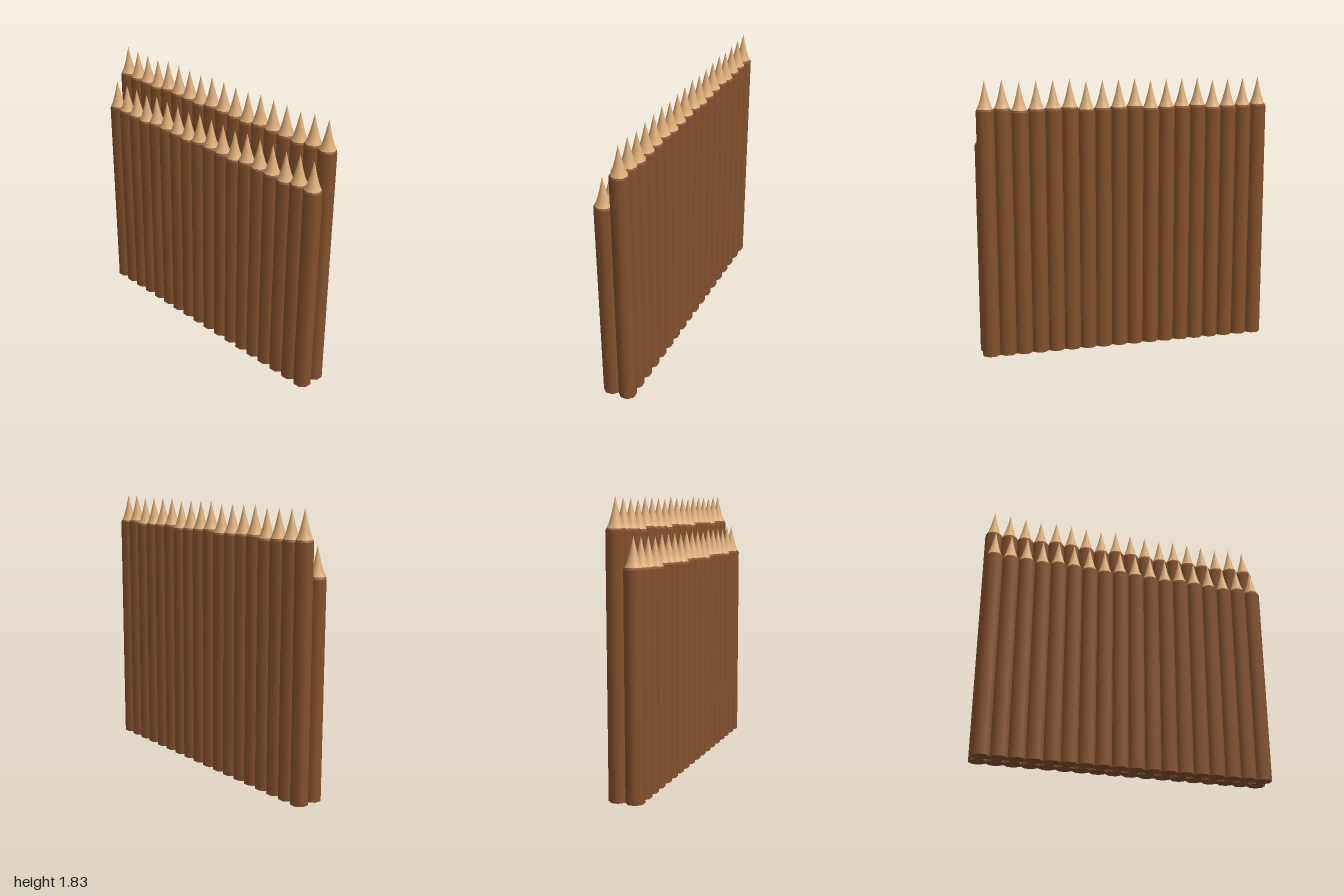
import * as THREE from 'three';

export function createModel() {
  const bark = new THREE.MeshStandardMaterial({ color: 0x85522e });
  bark.name = 'barkBrown';
  const cut = new THREE.MeshStandardMaterial({ color: 0xdeae78 });
  cut.name = 'cutWood';

  const count = 18;
  const pitch = 2 / count;
  const radius = pitch / 2 / Math.cos(Math.PI / 8); // octagon whose flats touch
  const lift = [0.006, 0.001, -0.002, -0.009]; // small repeating height change

  // Shared geometry: bevelled rim and flared sharpened point
  const rimGeo = new THREE.CylinderGeometry(0.052, radius, 0.016, 8, 1, true);
  rimGeo.rotateY(Math.PI / 8).translate(0, 0.008, 0);
  const pointGeo = new THREE.LatheGeometry([
    [0.053, 0.013], [0.044, 0.03], [0.035, 0.055], [0.021, 0.105], [0.0, 0.198],
  ].map(([r, y]) => new THREE.Vector2(r, y)), 16);

  function stake(height) {
    const group = new THREE.Group();
    group.name = 'stake';
    const logGeo = new THREE.CylinderGeometry(radius, radius, height, 8);
    logGeo.rotateY(Math.PI / 8).translate(0, height / 2, 0);
    const parts = [['log', logGeo, bark, 0], ['rim', rimGeo, bark, height], ['point', pointGeo, cut, height]];
    for (const [name, geo, mat, y] of parts) {
      const mesh = new THREE.Mesh(geo, mat);
      mesh.name = name;
      mesh.position.y = y;
      group.add(mesh);
    }
    return group;
  }

  // Two rows of touching stakes, the back one taller
  const model = new THREE.Group();
  model.name = 'palisade';
  for (const [name, z, height] of [['frontRow', pitch / 2, 1.4], ['backRow', -pitch / 2, 1.626]]) {
    const row = new THREE.Group();
    row.name = name;
    for (let i = 0; i < count; i++) {
      const s = stake(height + lift[i % 4]);
      s.position.set(-1 + pitch * (i + 0.5), 0, z);
      row.add(s);
    }
    model.add(row);
  }
  return model;
}
